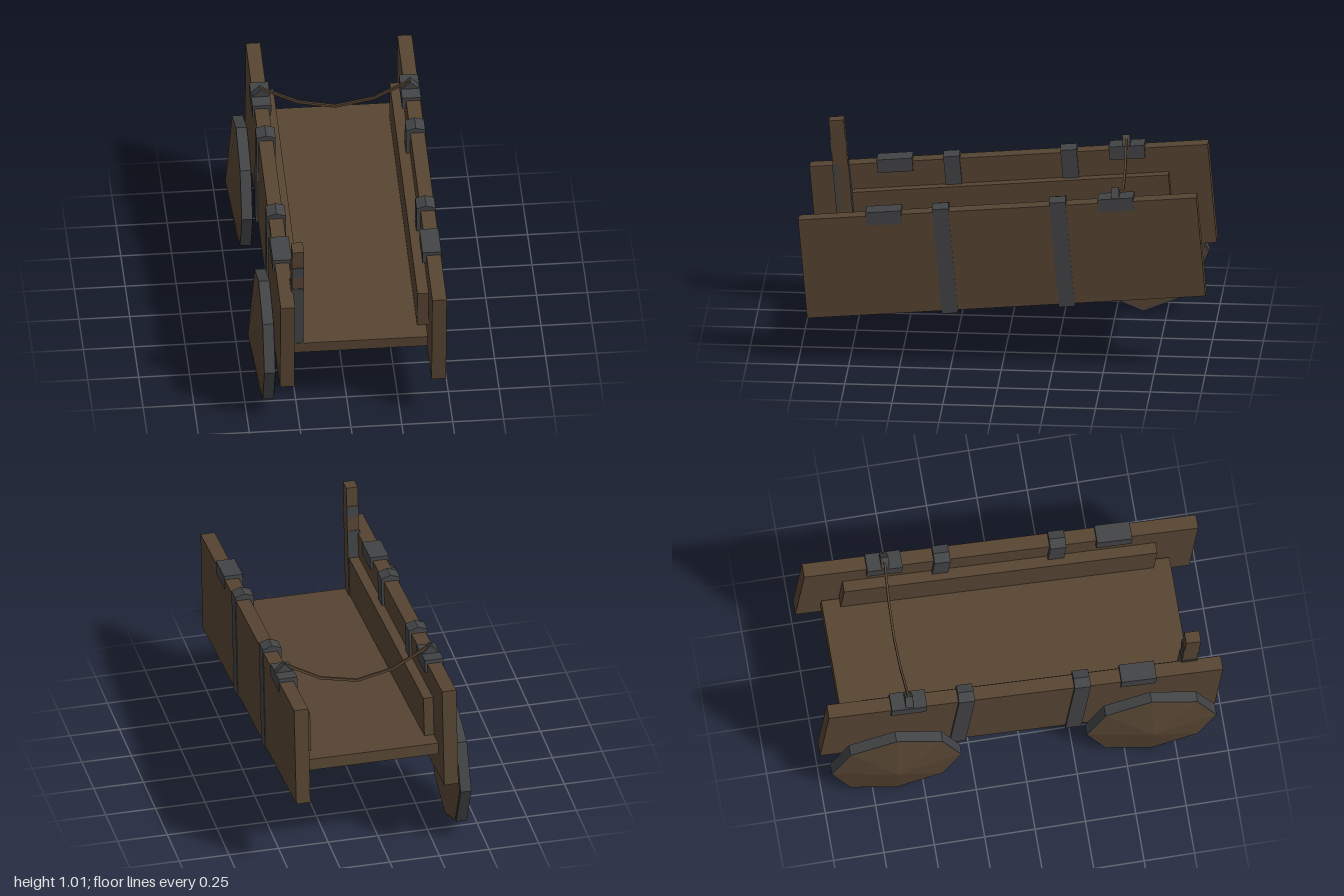
import * as THREE from 'three';

export function createModel() {
  const wood = new THREE.MeshStandardMaterial({ color: 0x574532, flatShading: true, side: THREE.DoubleSide });
  wood.name = 'brown wood';
  const iron = new THREE.MeshStandardMaterial({ color: 0x434446, flatShading: true, side: THREE.DoubleSide });
  iron.name = 'grey iron';

  const model = new THREE.Group();
  model.name = 'cart';

  const add = (parent, name, geometry, material, x, y, z) => {
    const mesh = new THREE.Mesh(geometry, material);
    mesh.name = name;
    mesh.position.set(x, y, z);
    parent.add(mesh);
    return mesh;
  };
  const box = (w, h, d) => new THREE.BoxGeometry(w, h, d);

  // Outline extruded along z and centred on it
  const prism = (points, depth) => {
    const shape = new THREE.Shape(points.map(([x, y]) => new THREE.Vector2(x, y)));
    return new THREE.ExtrudeGeometry(shape, { depth, bevelEnabled: false }).translate(0, 0, -depth / 2);
  };

  // Drops the triangles of the flat underside, leaving a hollow shell
  const openBottom = (source) => {
    const flat = source.index ? source.toNonIndexed() : source;
    flat.computeBoundingBox();
    const limit = flat.boundingBox.min.y + 1e-5;
    const p = flat.attributes.position.array;
    const kept = [];
    for (let i = 0; i < p.length; i += 9) {
      if (Math.max(p[i + 1], p[i + 4], p[i + 7]) > limit) kept.push(...p.slice(i, i + 9));
    }
    const shell = new THREE.BufferGeometry();
    shell.setAttribute('position', new THREE.Float32BufferAttribute(kept, 3));
    shell.computeVertexNormals();
    return shell;
  };

  // Body leans down towards the front
  const body = new THREE.Group();
  body.name = 'body';
  body.position.y = 0.578;
  body.rotation.x = 0.087;
  model.add(body);

  // Side walls, inner rails and floor, all open underneath
  const wall = openBottom(box(0.071, 0.514, 1.963));
  add(body, 'leftWall', wall, wood, 0.4355, -0.003, 0);
  add(body, 'rightWall', wall, wood, -0.31, -0.003, 0);
  add(body, 'leftRail', openBottom(box(0.056, 0.205, 1.56)), wood, 0.373, 0.022, 0);
  add(body, 'rightRail', openBottom(box(0.05, 0.205, 1.56)), wood, -0.251, 0.022, 0);
  add(body, 'floor', openBottom(box(0.665, 0.059, 1.735)), wood, 0.0575, -0.113, -0.002);

  // Iron straps, clamps and rope hooks on both walls
  const strap = openBottom(prism([[-0.047, -0.275], [0.047, -0.275], [0.047, 0.27], [0, 0.286], [-0.047, 0.27]], 0.08));
  const clamp = openBottom(box(0.093, 0.068, 0.175));
  const hook = openBottom(prism([[-0.045, 0.268], [0.045, 0.268], [0, 0.317]], 0.038));
  for (const [side, x] of [['left', 0.427], ['right', -0.309]]) {
    for (const z of [0.28, -0.297]) add(body, side + 'Strap', strap, iron, x, 0, z);
    for (const z of [0.561, -0.583]) add(body, side + 'Clamp', clamp, iron, x, 0.239, z);
    add(body, side + 'Hook', hook, iron, x, 0, -0.582);
  }

  // Sagging rope between the hooks
  const rope = [[-0.31, 0.31], [-0.12, 0.207], [0.06, 0.168], [0.245, 0.207], [0.43, 0.31]]
    .map(([x, y]) => new THREE.Vector3(x, y, -0.583));
  for (let i = 0; i < rope.length - 1; i++) {
    const dir = rope[i + 1].clone().sub(rope[i]);
    const mid = rope[i].clone().add(rope[i + 1]).multiplyScalar(0.5);
    const piece = add(body, 'rope', box(dir.length() + 0.004, 0.013, 0.011), wood, mid.x, mid.y, mid.z);
    piece.rotation.z = Math.atan2(dir.y, dir.x);
  }

  // Front post with an iron sleeve and small plates
  add(body, 'post', box(0.058, 0.59, 0.074), wood, -0.251, 0.211, 0.824);
  add(body, 'postSleeve', box(0.062, 0.355, 0.08), iron, -0.253, 0.093, 0.824);
  for (const s of [-1, 1]) add(body, 'postPlate', box(0.06, 0.06, 0.006), iron, -0.251, 0.375, 0.824 + s * 0.038);

  // Eight-sided wheels with an iron rim and a domed wooden face
  for (const [name, z] of [['frontWheel', 0.633], ['backWheel', -0.633]]) {
    const wheel = new THREE.Group();
    wheel.name = name;
    wheel.position.set(-0.395, 0.3225, z);
    wheel.rotation.z = Math.PI / 2;
    model.add(wheel);
    add(wheel, 'rim', new THREE.CylinderGeometry(0.3225, 0.3225, 0.054, 8), iron, 0, 0, 0);
    add(wheel, 'outerFace', new THREE.ConeGeometry(0.315, 0.053, 8), wood, 0, 0.0535, 0);
    add(wheel, 'innerFace', new THREE.CylinderGeometry(0.311, 0.311, 0.004, 8), wood, 0, -0.028, 0);
  }

  return model;
}
